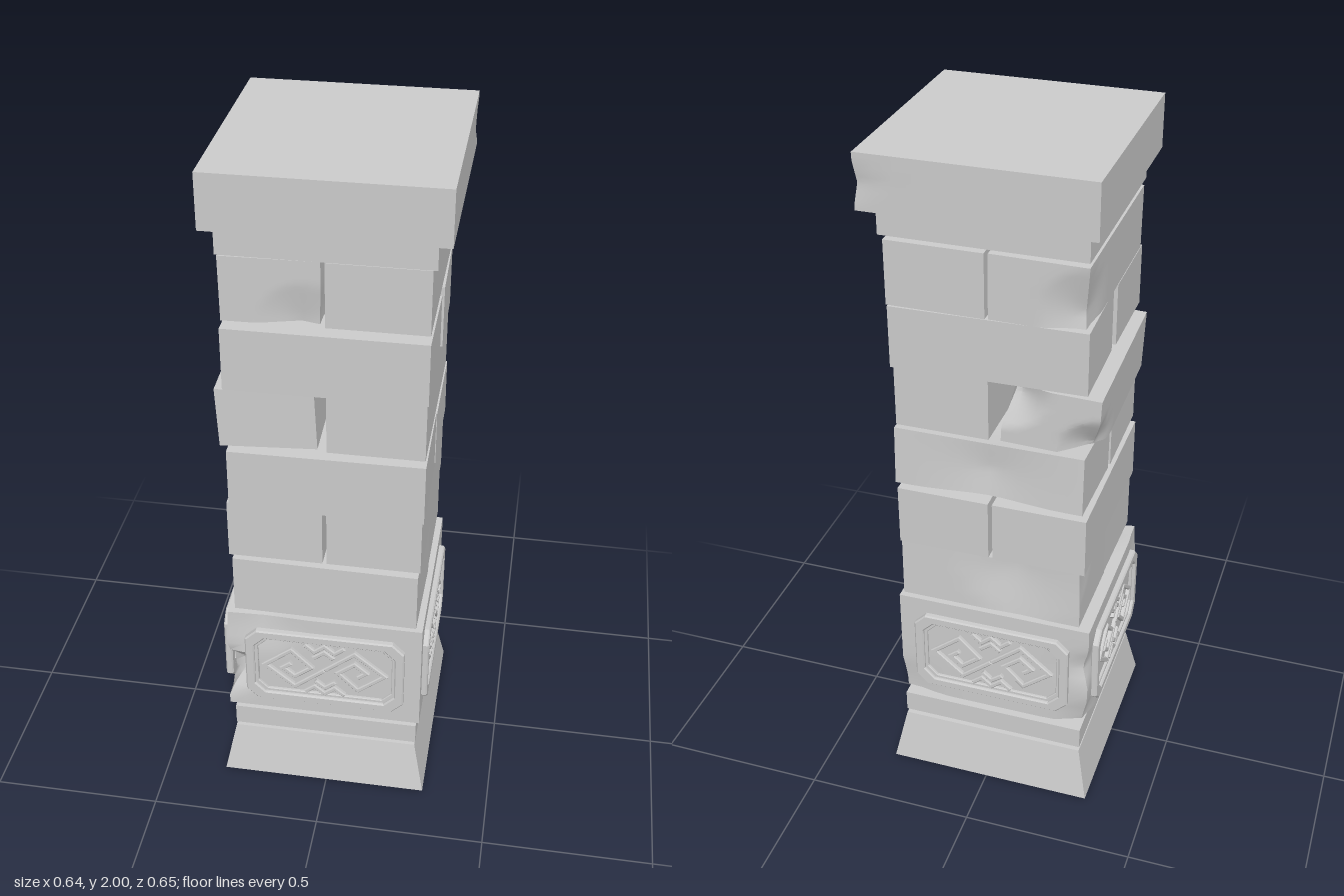
import * as THREE from 'three';
import { toCreasedNormals } from 'three/addons/utils/BufferGeometryUtils.js';

const stone = new THREE.MeshStandardMaterial({ color: 0xcccccc });

// Stone block from its bounds. tilt = [rx, ry, rz]; dents = [x, y, z, radius, depth] pull the surface inwards.
function block(name, [x0, x1], [y0, y1], [z0, z1], { tilt = [0, 0, 0], dents = [], flare = 0 } = {}) {
  const n = dents.length ? 12 : 1;
  const g = new THREE.BoxGeometry(x1 - x0, y1 - y0, z1 - z0, n, n, n);
  const centre = new THREE.Vector3((x0 + x1) / 2, (y0 + y1) / 2, (z0 + z1) / 2);
  const p = g.attributes.position;
  const v = new THREE.Vector3();
  for (let i = 0; i < p.count; i++) {
    v.fromBufferAttribute(p, i);
    if (v.y < 0) { // splayed foot
      v.x += Math.sign(v.x) * flare;
      v.z += Math.sign(v.z) * flare;
    }
    for (const [dx, dy, dz, r, depth] of dents) {
      const d = Math.hypot(v.x + centre.x - dx, v.y + centre.y - dy, v.z + centre.z - dz);
      if (d < r) v.addScaledVector(v.clone().normalize(), -depth * (1 - d / r));
    }
    p.setXYZ(i, v.x, v.y, v.z);
  }
  const mesh = new THREE.Mesh(toCreasedNormals(g, 0.5), stone);
  mesh.name = name;
  mesh.position.copy(centre);
  mesh.rotation.set(...tilt);
  return mesh;
}

// Flat band of constant width along a polyline, with mitred corners
function bandShape(points, width) {
  const pts = points.map(([x, y]) => new THREE.Vector2(x, y));
  const left = [], right = [];
  pts.forEach((q, i) => {
    const a = q.clone().sub(pts[i - 1] ?? q).normalize();
    const b = (pts[i + 1] ?? q).clone().sub(q).normalize();
    if (i === 0) a.copy(b);
    if (i === pts.length - 1) b.copy(a);
    const normal = new THREE.Vector2(-a.y - b.y, a.x + b.x).normalize();
    const reach = width / 2 / Math.max(0.4, normal.dot(new THREE.Vector2(-a.y, a.x)));
    left.push(q.clone().addScaledVector(normal, reach));
    right.unshift(q.clone().addScaledVector(normal, -reach));
  });
  return new THREE.Shape([...left, ...right]);
}

// Rectangle with cut corners
function cutRect(w, h, c) {
  const x = w / 2, y = h / 2;
  return [[-x + c, -y], [x - c, -y], [x, -y + c], [x, y - c], [x - c, y], [-x + c, y], [-x, y - c], [-x, -y + c]]
    .map(q => new THREE.Vector2(...q));
}

function raised(name, shapes, depth, bevel) {
  const g = new THREE.ExtrudeGeometry(shapes, {
    depth: depth - bevel, bevelThickness: bevel, bevelSize: bevel, bevelOffset: -bevel, bevelSegments: 1,
  });
  const mesh = new THREE.Mesh(g, stone);
  mesh.name = name;
  return mesh;
}

// Carved panel facing +z: stepped frame and interlaced knot
function carvedPanel(name) {
  const panel = new THREE.Group();
  panel.name = name;
  const ring = (w, h, c, t) => {
    const s = new THREE.Shape(cutRect(w, h, c));
    s.holes.push(new THREE.Path(cutRect(w - 2 * t, h - 2 * t, c * 0.9).reverse()));
    return s;
  };
  panel.add(raised('outerFrame', ring(0.475, 0.265, 0.035, 0.028), 0.018, 0.004));
  panel.add(raised('innerFrame', ring(0.425, 0.215, 0.032, 0.012), 0.009, 0.002));

  const spiral = [[0.1, -0.015], [0.125, 0.005], [0.09, 0.035], [0.04, -0.005],
    [0.1, -0.065], [0.18, 0], [0.09, 0.075], [0, 0]];
  const zigzag = [[-0.06, 0.093], [-0.03, 0.068], [0, 0.093], [0.03, 0.068], [0.06, 0.093]];
  const chevron = [[-0.034, 0.044], [0, 0.07], [0.028, 0.047]];
  const knot = [];
  for (const line of [spiral, zigzag, chevron])
    for (const s of [1, -1]) knot.push(bandShape(line.map(([x, y]) => [x * s, y * s]), 0.014));
  panel.add(raised('knotRelief', knot, 0.013, 0.003));
  return panel;
}

export function createModel() {
  const pillar = new THREE.Group();
  pillar.name = 'stonePillar';

  // Foot, lower moulding and carved block
  pillar.add(block('splayedFoot', [-0.285, 0.268], [0, 0.16], [-0.285, 0.293], { flare: 0.033 }));
  pillar.add(block('lowerMoulding', [-0.285, 0.27], [0.17, 0.237], [-0.28, 0.291]));
  pillar.add(block('carvedBlock', [-0.302, 0.279], [0.25, 0.61], [-0.27, 0.29], {
    dents: [[-0.3, 0.38, 0.29, 0.09, 0.09], [-0.2, 0.61, 0.29, 0.14, 0.03],
      [0.28, 0.25, -0.2, 0.14, 0.03], [-0.3, 0.25, -0.27, 0.1, 0.03], [-0.3, 0.47, -0.27, 0.07, 0.03]],
  }));

  // A carved panel on each side
  const sides = [['frontPanel', -0.007, 0.289, 0], ['leftPanel', 0.278, 0.015, Math.PI / 2],
    ['backPanel', -0.007, -0.269, Math.PI], ['rightPanel', -0.301, 0.015, -Math.PI / 2]];
  for (const [name, x, z, turn] of sides) {
    const panel = carvedPanel(name);
    panel.position.set(x, 0.43, z);
    panel.rotation.y = turn;
    pillar.add(panel);
  }

  // Courses laid in alternating directions, two stones each
  const shaft = new THREE.Group();
  shaft.name = 'shaft';
  const courses = [
    [[-0.272, 0.262], [0.622, 0.806], [0.012, 0.285], { tilt: [0, -0.015, 0] },
      [-0.272, 0.262], [0.626, 0.81], [-0.272, 0.002], { tilt: [0.02, 0, 0], dents: [[-0.1, 0.81, -0.27, 0.2, 0.03]] }],
    [[-0.284, -0.014], [0.816, 0.998], [-0.275, 0.275], {},
      [-0.002, 0.265], [0.816, 0.998], [-0.275, 0.275], {}],
    [[-0.272, 0.27], [1.003, 1.188], [0.015, 0.298], { tilt: [0, 0.01, 0] },
      [-0.272, 0.27], [1.01, 1.185], [-0.27, 0.002], { tilt: [0.05, 0, 0], dents: [[0, 1.1, -0.27, 0.22, 0.02]] }],
    [[-0.302, -0.034], [1.197, 1.375], [-0.255, 0.275],
      { tilt: [0, 0.02, 0.045], dents: [[-0.3, 1.2, -0.255, 0.11, 0.06], [-0.04, 1.36, -0.255, 0.12, 0.06]] },
      [0, 0.267], [1.197, 1.378], [-0.255, 0.275], {}],
    [[-0.272, 0.272], [1.385, 1.566], [0.032, 0.3], {},
      [-0.272, 0.272], [1.385, 1.566], [-0.266, -0.008], { tilt: [0, 0.02, 0] }],
    [[-0.275, -0.012], [1.575, 1.758], [-0.28, 0.27],
      { tilt: [0, 0, 0.01], dents: [[-0.275, 1.62, -0.28, 0.13, 0.03], [-0.06, 1.575, 0.27, 0.12, 0.02]] },
      [-0.002, 0.268], [1.575, 1.758], [-0.28, 0.27], {}],
  ];
  courses.forEach((c, i) => {
    shaft.add(block(`course${i + 1}StoneA`, ...c.slice(0, 4)));
    shaft.add(block(`course${i + 1}StoneB`, ...c.slice(4)));
  });
  pillar.add(shaft);

  // Upper moulding and capstone
  pillar.add(block('upperMoulding', [-0.276, 0.281], [1.77, 1.84], [-0.281, 0.291]));
  pillar.add(block('capstone', [-0.308, 0.318], [1.848, 2], [-0.324, 0.325], {
    dents: [[0.318, 1.92, -0.324, 0.06, 0.012]],
  }));
  return pillar;
}
